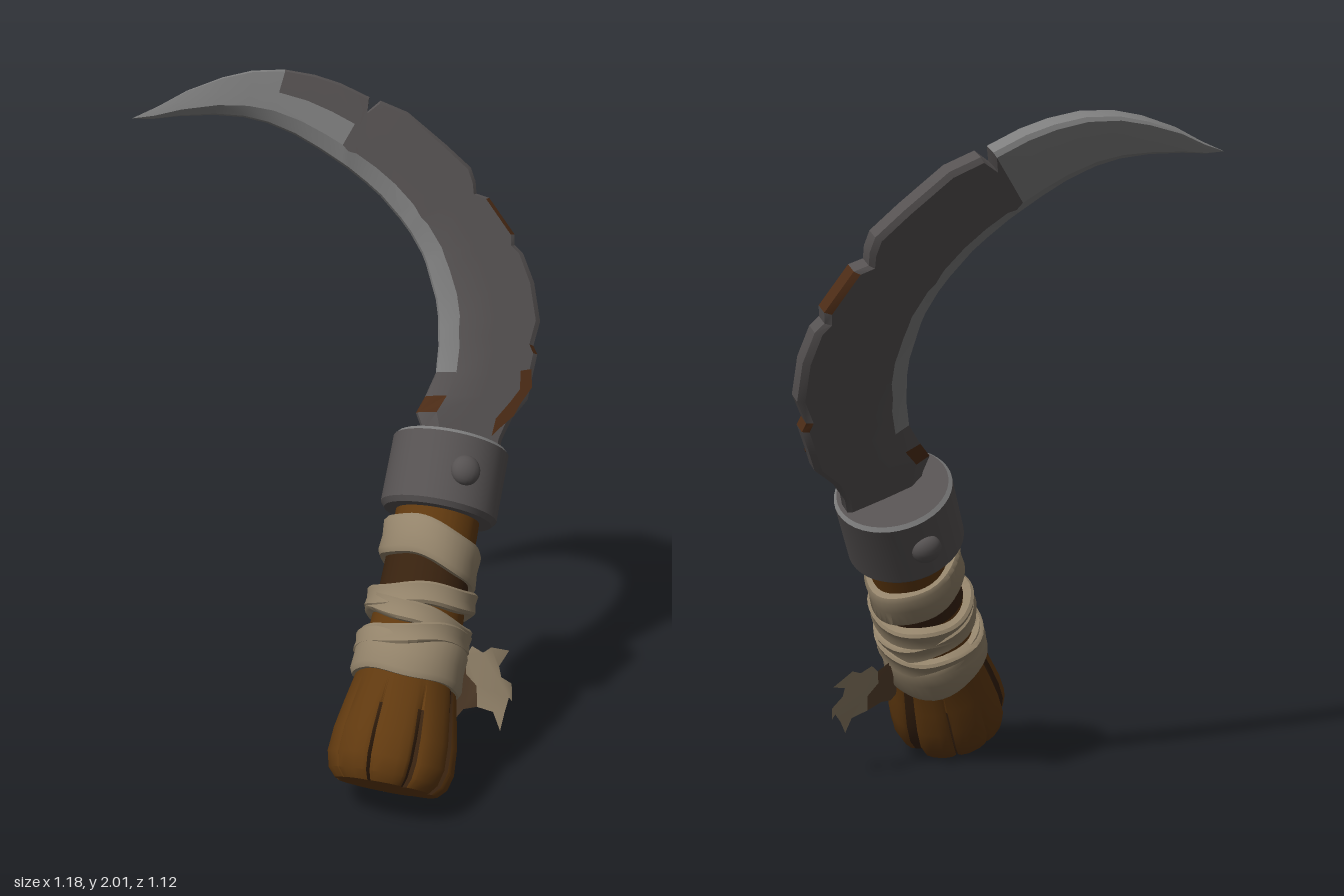
import * as THREE from 'three';
import { toCreasedNormals } from 'three/addons/utils/BufferGeometryUtils.js';

const mat = (name, color, side = THREE.FrontSide) => {
  const m = new THREE.MeshStandardMaterial({ color, side });
  m.name = name;
  return m;
};

// Joins closed rings of points into a skin; paint(s, k) picks the material of each cell.
function skin(rings, paint, mats, crease) {
  const lists = mats.map(() => []);
  for (let s = 0; s < rings.length - 1; s++) {
    const n = rings[s].length;
    for (let k = 0; k < n; k++) {
      const j = (k + 1) % n;
      const a = rings[s][k], b = rings[s][j], c = rings[s + 1][j], d = rings[s + 1][k];
      lists[paint(s, k)].push(...a, ...b, ...c, ...a, ...c, ...d);
    }
  }
  const geo = new THREE.BufferGeometry();
  geo.setAttribute('position', new THREE.Float32BufferAttribute(lists.flat(), 3));
  let start = 0;
  lists.forEach((l, i) => {
    geo.addGroup(start, l.length / 3, i);
    start += l.length / 3;
  });
  return new THREE.Mesh(toCreasedNormals(geo, crease), mats);
}

const lathe = (pts, n = 40) =>
  toCreasedNormals(new THREE.LatheGeometry(pts.map(p => new THREE.Vector2(...p)), n), 0.5);

export function createModel() {
  const steel = mat('dark steel', 0x565252);
  const worn = mat('worn steel', 0x7e7e7e);
  const rust = mat('rust', 0x4e2d17);
  const wood = mat('wood', 0x60390f);
  const darkWood = mat('dark wood', 0x38220f);
  const cloth = mat('cloth', 0x93836a, THREE.DoubleSide);
  const darkCloth = mat('dark cloth', 0x5c4530, THREE.DoubleSide);

  const model = new THREE.Group();
  const add = (parent, name, obj) => {
    obj.name = name;
    parent.add(obj);
    return obj;
  };

  // The whole sickle leans back; its blade lies in this group's xy plane.
  const lean = 0.459, rise = Math.cos(lean);
  const sickle = add(model, 'sickle', new THREE.Group());
  sickle.position.z = 0.46;
  sickle.rotation.x = -lean;

  // Blade stations: inner x, y, outer x, y (upright heights), with nicks in the outer edge
  const stations = [
    [.13, .88, .33, .82], [.13, .98, .37, .92], [.12, 1.03, .42, .975], [.16, 1.07, .485, 1.02],
    [.21, 1.13, .51, 1.07], [.235, 1.2, .548, 1.14], [.244, 1.24, .54, 1.165], [.253, 1.28, .58, 1.23],
    [.257, 1.33, .586, 1.34], [.25, 1.4, .568, 1.425], [.247, 1.43, .545, 1.45], [.24, 1.46, .552, 1.48],
    [.215, 1.52, .49, 1.59], [.2, 1.545, .45, 1.605], [.188, 1.565, .455, 1.64], [.18, 1.575, .448, 1.68],
    [.14, 1.63, .38, 1.75], [.10, 1.67, .273, 1.85], [.05, 1.715, .19, 1.888], [.03, 1.73, .14, 1.86],
    [.01, 1.745, .156, 1.90], [-.034, 1.777, .07, 1.945], [-.1, 1.82, -.008, 1.973],
    [-.178, 1.857, -.1, 1.993], [-.25, 1.878, -.204, 1.996], [-.34, 1.89, -.3, 1.983],
    [-.45, 1.893, -.416, 1.955], [-.53, 1.89, -.51, 1.92], [-.592, 1.895, -.592, 1.895],
  ];
  // Cross-section: position from inner to outer edge, half thickness
  const section = [[0, .006], [.17, .03], [.52, .032], [.94, .03], [1, .02]];
  const bladeRings = stations.map(([ix, iy, ox, oy]) => {
    const thin = Math.min(1, Math.hypot(ox - ix, oy - iy) / 0.1);
    const side = sign => section.map(([u, w]) =>
      [ix + (ox - ix) * u, (iy + (oy - iy) * u) / rise, sign * w * thin]);
    return [...side(1), ...side(-1).reverse()];
  });
  const bladePaint = (s, k) => {
    const bevel = k === 0 || k >= 8;
    if (bevel) return s === 2 ? 2 : s >= 4 ? 1 : 0;
    if (k >= 3 && k <= 5 && (s === 5 || s === 11)) return 2;
    return s >= (k === 2 || k === 3 ? 23 : 20) ? 1 : 0;
  };
  add(sickle, 'blade', skin(bladeRings, bladePaint, [steel, worn, rust], 0.45));

  // Rust streak near the foot of the blade
  const streak = [[.51, 1.1], [.5, 1.05], [.45, 1.01], [.42, .98], [.36, .95], [.335, .935],
    [.36, .98], [.42, 1.02], [.46, 1.05], [.475, 1.1]];
  const streakShape = new THREE.Shape(streak.map(([x, y]) => new THREE.Vector2(x, y / rise)));
  const streakMesh = add(sickle, 'rustStreak', new THREE.Mesh(
    new THREE.ExtrudeGeometry(streakShape, { depth: 0.006, bevelEnabled: false }), rust));
  streakMesh.position.z = 0.028;

  // Handle frame: y runs up the handle from its butt
  const handle = add(sickle, 'handle', new THREE.Group());
  handle.position.set(-0.2, 0.089, 0);
  handle.rotation.z = -0.41;

  // Wooden grip: lobes parted by dark grooves that fade upwards
  const lobes = 9, fractions = [0, .05, .14, .35, .65, .86, .95];
  const grip = [[0, 0], [.1, -.004], [.148, 0], [.172, .025], [.184, .07], [.18, .14], [.166, .22],
    [.15, .3], [.138, .4], [.13, .57], [.128, .67], [.125, .85]];
  const grooveTop = i => 0.22 + 0.07 * ((i * 5) % 4);
  const gripRings = grip.map(([r, s]) => {
    const ring = [];
    for (let i = 0; i < lobes; i++) fractions.forEach((f, j) => {
      const a = (i + f + 0.15 * Math.sin(i * 2.3)) / lobes * Math.PI * 2;
      const fade = Math.max(0, 1 - s / (grooveTop(i) + 0.1));
      const cut = j === 0 ? 0.16 : j === 1 || j === 6 ? 0.04 : j === 3 || j === 4 ? -0.02 : 0;
      const rr = r * (1 - cut * fade);
      ring.push([rr * Math.sin(a), s, rr * Math.cos(a)]);
    });
    return ring;
  });
  const gripPaint = (s, k) => {
    const i = Math.floor(k / 7), j = k % 7, h = grip[s][1];
    if (h > 0.5 && h < 0.6) return 1;
    const lobe = j === 6 ? (i + 1) % lobes : i;
    return (j === 0 || j === 6) && s > 1 && h < grooveTop(lobe) ? 1 : 0;
  };
  add(handle, 'grip', skin(gripRings, gripPaint, [wood, darkWood], 0.6));

  // Cloth bands: centre height, height, radius, sideways tilt, front tilt
  const bands = [
    [.365, .13, .166, -.06, .05], [.425, .06, .168, .12, .1], [.49, .06, .162, -.16, -.08],
    [.545, .065, .162, .1, .06], [.69, .115, .152, -.24, .05],
  ];
  bands.forEach(([s, h, r, tx, tz], i) => {
    const geo = new THREE.LatheGeometry([[.115, -.5], [r - .008, -.5], [r, -.38], [r - .004, 0],
      [r, .38], [r - .008, .5], [.115, .5]].map(([x, y]) => new THREE.Vector2(x, y * h)), 40);
    const p = geo.attributes.position;
    for (let v = 0; v < p.count; v++) {
      const x = p.getX(v), z = p.getZ(v), a = Math.atan2(x, z);
      const swell = 1 + 0.018 * Math.sin(3 * a + i * 2);
      p.setXYZ(v, x * swell, p.getY(v) + tx * x + tz * z + 0.005 * Math.sin(4 * a + i), z * swell);
    }
    add(handle, 'clothBand', new THREE.Mesh(toCreasedNormals(geo, 0.7), cloth)).position.y = s;
  });

  // Steel collar with a worn rim and a rivet front and back
  const collar = add(handle, 'collar', new THREE.Group());
  collar.position.y = 0.925;
  add(collar, 'collarBand', new THREE.Mesh(
    lathe([[.1, -.115], [.162, -.115], [.175, -.1], [.175, .104]]), steel));
  add(collar, 'collarRim', new THREE.Mesh(lathe([[.175, .104], [.165, .115]]), worn));
  add(collar, 'collarTop', new THREE.Mesh(lathe([[.165, .115], [0, .115]]), steel));
  for (const side of [1, -1]) {
    const rivet = add(collar, 'rivet', new THREE.Mesh(new THREE.SphereGeometry(0.045, 20, 12), steel));
    rivet.position.set(-0.01, 0, side * 0.172);
    rivet.scale.z = 0.75;
  }

  // Torn cloth tail hanging from the lowest band
  const tail = (name, pts, material) => {
    const geo = new THREE.ShapeGeometry(new THREE.Shape(pts.map(q => new THREE.Vector2(...q))));
    const p = geo.attributes.position;
    for (let v = 0; v < p.count; v++) {
      const x = p.getX(v), y = p.getY(v);
      p.setZ(v, 0.25 + (0.27 - y) * 0.5 - (x - 0.18) * 0.3 + 0.015 * Math.sin(x * 30));
    }
    geo.computeVertexNormals();
    add(model, name, new THREE.Mesh(geo, material));
  };
  tail('tailInner', [[.03, .24], [.06, .2], [.11, .21], [.167, .196], [.18, .25], [.15, .29],
    [.165, .335], [.1, .36], [.05, .34]], darkCloth);
  tail('tailOuter', [[.167, .196], [.215, .175], [.225, .122], [.25, .165], [.28, .2], [.29, .185],
    [.305, .228], [.265, .26], [.265, .29], [.325, .31], [.25, .345], [.22, .335], [.19, .357],
    [.165, .335], [.15, .29], [.18, .25]], cloth);

  return model;
}
